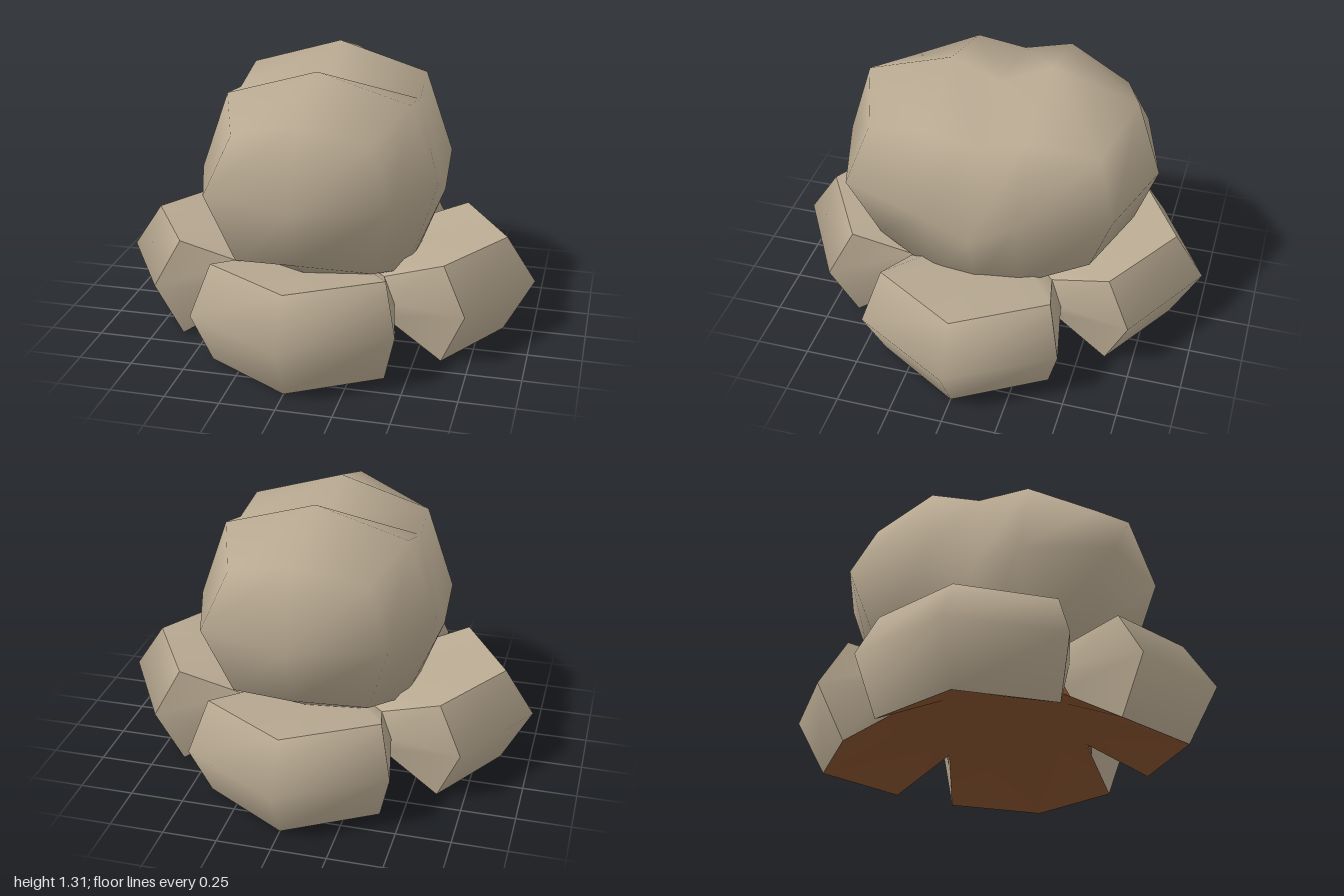
import * as THREE from 'three';
import { mergeVertices } from 'three/addons/utils/BufferGeometryUtils.js';

const V = (x, y, z) => new THREE.Vector3(x, y, z);

// Smooth sheet through rows of points (rows run upward, columns left to right)
function sheet(rows) {
  const n = rows[0].length, index = [];
  for (let r = 0; r < rows.length - 1; r++) {
    for (let c = 0; c < n - 1; c++) {
      const a = r * n + c, d = a + n;
      index.push(a, a + 1, d + 1, a, d + 1, d);
    }
  }
  let g = new THREE.BufferGeometry().setFromPoints(rows.flat());
  g.setIndex(index);
  g = mergeVertices(g);
  g.computeVertexNormals();
  return g;
}

// One level of each lobe: notch, corner, apex, corner, notch
const level = (y, apex, cx, cz, notch, ny) => [
  V(-notch, ny, notch), V(-cx, y, cz), V(0, y, apex), V(cx, y, cz), V(notch, ny, notch),
];

// Repeats one side's points around all four sides as a closed ring
const UP = V(0, 1, 0);
const ring = (side) => [0, 1, 2, 3].flatMap((i) => side.slice(0, 4)
  .map((p) => p.clone().applyAxisAngle(UP, i * Math.PI / 2))).concat(side[0].clone());

// Double rounded lump: a box of five layers along z, pulled in at edges and corners
function doubleLump() {
  let g = new THREE.BoxGeometry(2, 2, 4, 2, 2, 4);
  g.deleteAttribute('uv');
  g.deleteAttribute('normal');
  g = mergeVertices(g);
  const p = g.attributes.position;
  const pull = [0, 1, 0.76, 0.57];
  for (let n = 0; n < p.count; n++) {
    const i = Math.round(p.getX(n)), j = Math.round(p.getY(n)), k = Math.round(p.getZ(n));
    const s = Math.sign(k), end = Math.abs(k) === 2 ? 1 : 0;
    const f = pull[Math.abs(i) + Math.abs(j) + end];
    const cy = 0.755 + (s < 0 ? 0.028 : 0);
    let x = 0.555 * i * f, y = cy + 0.53 * j * f;
    let z = s * (0.215 + (0.535 * end + 0.02 * j) * f);
    if (j === 0) y = cy + (end ? 0.045 : 0.03);             // widest level
    if (end && j === -1 && i === 0) { y = cy - 0.235; z = s * 0.65; } // full chin
    if (k === 0) {                                          // waist between the lumps
      z = 0;
      x = (j === 0 ? 0.56 : 0.43) * i;
      y = j === 0 ? 0.69 : j > 0 ? (i ? 1.12 : 1.19) : (i ? 0.35 : 0.25);
    }
    p.setXYZ(n, x, y, z);
  }
  g.computeVertexNormals();
  return g;
}

export function createModel() {
  const tan = new THREE.MeshStandardMaterial({ color: 0xb9aa92 });
  tan.name = 'tan';
  const brown = new THREE.MeshStandardMaterial({ color: 0x8a5530 });
  brown.name = 'brown';

  const model = new THREE.Group();
  model.name = 'lumpOnLobedBase';
  const add = (parent, name, geometry, material) => {
    const mesh = new THREE.Mesh(geometry, material);
    mesh.name = name;
    parent.add(mesh);
  };

  // Lobe surfaces, shared by all four sides
  const low = level(0, 0.86, 0.4, 0.62, 0.34, 0.165);
  const mid = level(0.262, 1, 0.465, 0.73, 0.4, 0.265);
  const high = level(0.475, 0.86, 0.4, 0.62, 0.34, 0.368);
  const levels = [low, mid, high];

  // Small brown patches on the lobe ends, beside the foot of each notch
  const patch = (notchCol, cornerCol, side) => {
    const shift = V(side * 0.0045, -0.0015, -0.002);
    const foot = low[notchCol].clone().add(shift);
    const out = low[notchCol].clone().lerp(low[cornerCol], 0.2).add(shift);
    const up = low[notchCol].clone().lerp(mid[notchCol], 0.35).add(shift);
    return sheet([side > 0 ? [out, foot] : [foot, out], [up, up]]);
  };

  const parts = [
    ['lobeOuterWall', sheet(levels.map((l) => l.slice(1, 4))), tan],
    ['lobeLeftEnd', sheet(levels.map((l) => l.slice(3, 5))), tan],
    ['lobeRightEnd', sheet(levels.map((l) => l.slice(0, 2))), tan],
    ['lobeTop', sheet([high, high.map(() => V(0, 0.35, 0))]), tan],
    ['leftNotchPatch', patch(4, 3, 1), brown],
    ['rightNotchPatch', patch(0, 1, -1), brown],
  ];
  ['front', 'left', 'back', 'right'].forEach((side, i) => {
    const lobe = new THREE.Group();
    lobe.name = side + 'Lobe';
    for (const part of parts) add(lobe, ...part);
    lobe.rotation.y = i * Math.PI / 2;
    model.add(lobe);
  });

  // Hollow underside, rising from the lobe edges to a raised middle
  const inner = [-0.34, -0.17, 0, 0.17, 0.34].map((x) => V(x, 0.165 + (0.34 - Math.abs(x)) * 0.06, 0.34));
  const rim = ring(low);
  add(model, 'underside', sheet([rim.map(() => V(0, 0.2, 0)), ring(inner), rim]), brown);

  // Rounded double lump on top, the back half slightly higher
  add(model, 'doubleLump', doubleLump(), tan);

  return model;
}
